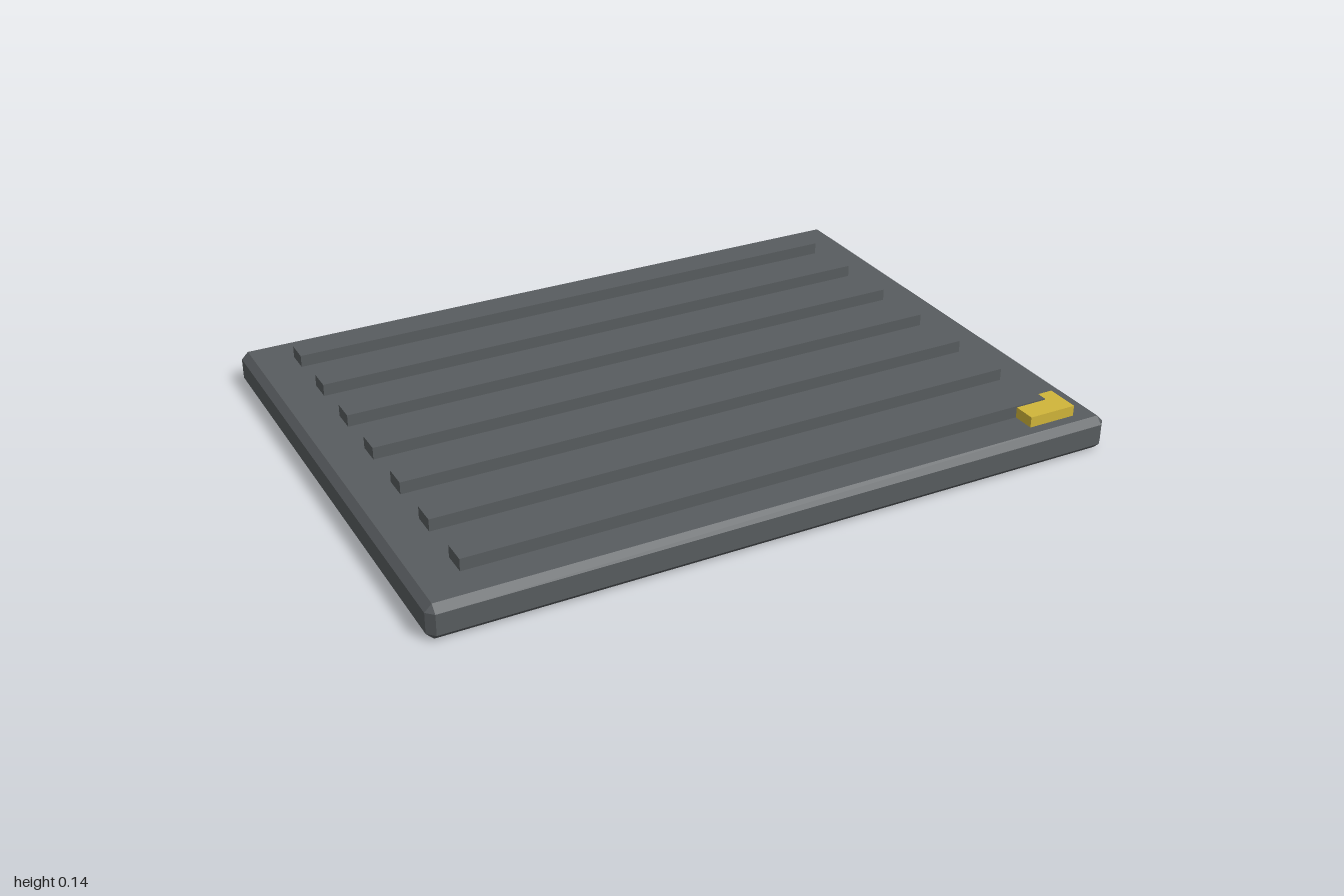
import * as THREE from 'three';
import { ConvexGeometry } from 'three/addons/geometries/ConvexGeometry.js';

// Box with every edge and corner chamfered by c
function chamferedBox(w, h, d, c) {
  const half = [w / 2, h / 2, d / 2];
  const points = [];
  for (const sx of [-1, 1]) for (const sy of [-1, 1]) for (const sz of [-1, 1]) {
    for (let axis = 0; axis < 3; axis++) {
      const p = [sx, sy, sz].map((s, i) => s * (half[i] - (i === axis ? 0 : c)));
      points.push(new THREE.Vector3(...p));
    }
  }
  return new ConvexGeometry(points);
}

export function createModel() {
  const model = new THREE.Group();
  model.name = 'ribbedPlate';
  const darkGrey = new THREE.MeshStandardMaterial({ color: 0x585c5f });
  const yellow = new THREE.MeshStandardMaterial({ color: 0xd0b53a });

  const add = (name, geometry, material, x, y, z) => {
    const mesh = new THREE.Mesh(geometry, material);
    mesh.name = name;
    mesh.position.set(x, y, z);
    model.add(mesh);
  };

  // Chamfered slab
  add('slab', chamferedBox(2, 0.1, 1.5, 0.02), darkGrey, 0, 0.05, 0);

  // Seven raised ribs, sunk slightly into the slab
  const ribGeometry = new THREE.BoxGeometry(1.74, 0.045, 0.07);
  for (let i = 0; i < 7; i++) {
    add(`rib${i + 1}`, ribGeometry, darkGrey, 0, 0.1125, -0.6 + i * 0.2);
  }

  // Coloured marker at the front left corner, partly under the last rib
  add('cornerMarker', new THREE.BoxGeometry(0.145, 0.035, 0.1), yellow, 0.8475, 0.1135, 0.65);

  return model;
}
